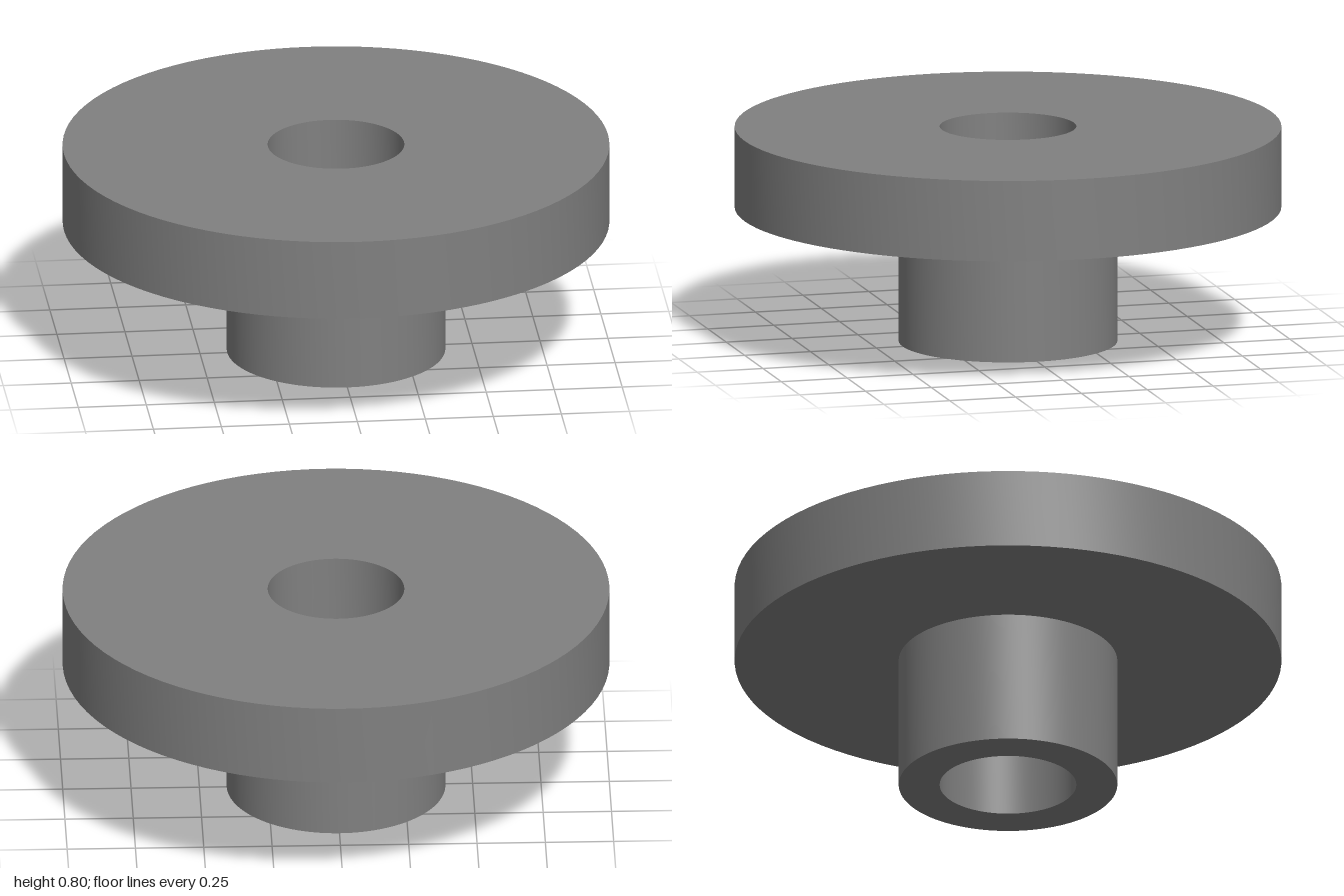
import * as THREE from 'three';
import { toCreasedNormals } from 'three/addons/utils/BufferGeometryUtils.js';

const BORE = 0.25, HUB = 0.4, RIM = 1;
const HUB_TOP = 0.5, TOP = 0.8;
const SEGMENTS = 96;

const material = new THREE.MeshStandardMaterial({ color: 0x808080 });

// Spins a [radius, height] profile around y, keeping its corners sharp
function turned(name, profile) {
  const points = profile.map(([r, y]) => new THREE.Vector2(r, y));
  const geometry = toCreasedNormals(new THREE.LatheGeometry(points, SEGMENTS), Math.PI / 6);
  const mesh = new THREE.Mesh(geometry, material);
  mesh.name = name;
  return mesh;
}

export function createModel() {
  const model = new THREE.Group();
  model.name = 'flangedBushing';

  // Narrow sleeve at the bottom, open where it meets the flange
  model.add(turned('hub', [
    [BORE, HUB_TOP], [BORE, 0], [HUB, 0], [HUB, HUB_TOP],
  ]));

  // Wide disc on top, with the bore continuing through it
  model.add(turned('flange', [
    [HUB, HUB_TOP], [RIM, HUB_TOP], [RIM, TOP], [BORE, TOP], [BORE, HUB_TOP],
  ]));

  return model;
}
